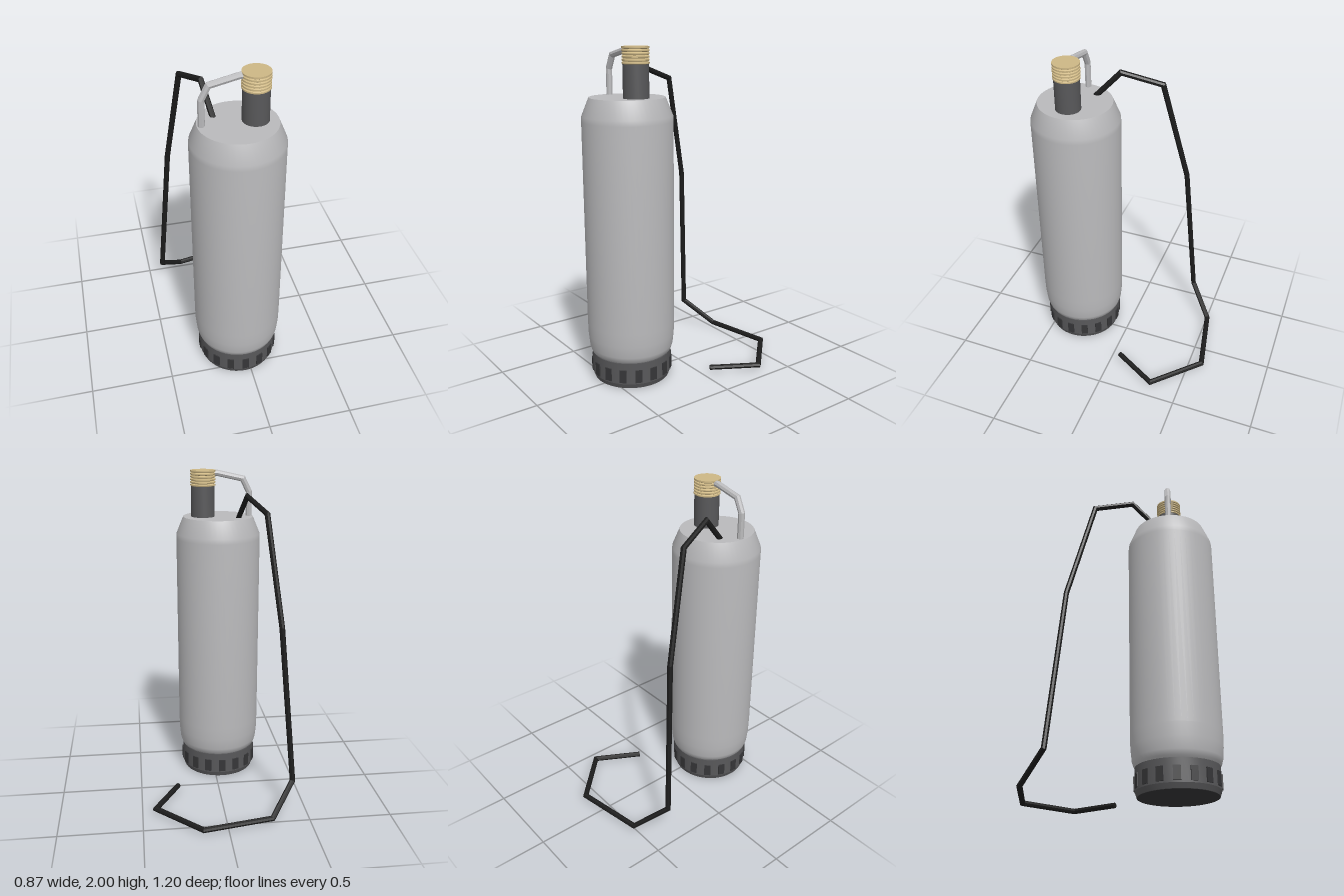
import * as THREE from 'three';
import { mergeGeometries, toCreasedNormals } from 'three/addons/utils/BufferGeometryUtils.js';

const mat = (name, color) => Object.assign(new THREE.MeshStandardMaterial({ color }), { name });

// Closed turned part; edges sharper than the crease angle stay crisp
function turned(points, segments = 48, crease = 0.65) {
  const g = new THREE.LatheGeometry(points.map(([r, y]) => new THREE.Vector2(r, y)), segments);
  return toCreasedNormals(g, crease);
}

// Faceted rod along a polyline, with mitred joints
function mitredRod(coords, radius, sides) {
  const pts = coords.map(c => new THREE.Vector3(...c));
  const dirs = pts.slice(1).map((p, i) => p.clone().sub(pts[i]).normalize());
  const up = new THREE.Vector3(0, 1, 0);
  const turn = new THREE.Quaternion().setFromUnitVectors(up, dirs[0]);
  const parts = dirs.map((dir, i) => {
    if (i > 0) turn.premultiply(new THREE.Quaternion().setFromUnitVectors(dirs[i - 1], dir));
    const a = pts[i], b = pts[i + 1], length = a.distanceTo(b);
    const g = new THREE.CylinderGeometry(radius, radius, length, sides, 1, true);
    g.translate(0, length / 2, 0).applyQuaternion(turn).translate(a.x, a.y, a.z);
    // Slide each end ring along the rod onto the bisecting plane of the joint
    const pos = g.attributes.position, v = new THREE.Vector3();
    for (let k = 0; k < pos.count; k++) {
      v.fromBufferAttribute(pos, k);
      const atEnd = v.clone().sub(a).dot(dir) > length / 2;
      const joint = atEnd ? b : a;
      const normal = dir.clone().add(dirs[atEnd ? i + 1 : i - 1] ?? dir).normalize();
      v.addScaledVector(dir, joint.clone().sub(v).dot(normal) / dir.dot(normal));
      pos.setXYZ(k, v.x, v.y, v.z);
    }
    return g;
  });
  // Caps at both free ends
  [[pts[0], dirs[0].clone().negate()], [pts.at(-1), dirs.at(-1)]].forEach(([p, d]) => {
    const cap = new THREE.CircleGeometry(radius, sides);
    cap.applyQuaternion(new THREE.Quaternion().setFromUnitVectors(new THREE.Vector3(0, 0, 1), d));
    parts.push(cap.translate(p.x, p.y, p.z));
  });
  const flat = mergeGeometries(parts).toNonIndexed();
  flat.computeVertexNormals();
  return flat;
}

export function createModel() {
  const steel = mat('steel', 0xbababc);
  const darkGrey = mat('darkGrey', 0x58585a);
  const slotGrey = mat('slotGrey', 0x363638);
  const brass = mat('brass', 0xcdb785);
  const black = mat('black', 0x1c1c1c);

  const model = new THREE.Group();
  model.name = 'submersiblePump';
  const add = (name, geometry, material, parent = model) => {
    const mesh = new THREE.Mesh(geometry, material);
    mesh.name = name;
    parent.add(mesh);
    return mesh;
  };

  // Pump housing, standing forward of the trailing cable
  const pump = new THREE.Group();
  pump.name = 'pump';
  pump.position.set(-0.04, 0, 0.33);
  model.add(pump);
  add('housing', turned([[0, 0.16], [0.225, 0.16], [0.247, 0.18], [0.256, 0.21],
    [0.263, 0.28], [0.265, 0.36], [0.265, 1.58], [0.263, 1.61], [0.22, 1.715], [0, 1.715]]), steel, pump);

  // Intake base with a ring of sixteen slots
  add('intakeBase', turned([[0, 0.005], [0.23, 0.005], [0.241, 0.035], [0.241, 0.168], [0, 0.168]], 48, 0.3), darkGrey, pump);
  const slots = new THREE.Group();
  slots.name = 'intakeSlots';
  pump.add(slots);
  for (let i = 0; i < 16; i++) {
    const a = i * Math.PI / 8;
    const slot = add('intakeSlot', new THREE.BoxGeometry(0.042, 0.08, 0.009), slotGrey, slots);
    slot.position.set(Math.sin(a) * 0.2425, 0.085, Math.cos(a) * 0.2425);
    slot.rotation.y = a;
  }
  const underside = add('baseUnderside', new THREE.CircleGeometry(0.23, 48), slotGrey, pump);
  underside.rotation.x = Math.PI / 2;
  underside.position.y = 0.003;

  // Outlet pipe and threaded end
  const outlet = new THREE.Group();
  outlet.name = 'outlet';
  outlet.position.x = 0.095;
  pump.add(outlet);
  add('outletPipe', turned([[0, 1.7], [0.074, 1.7], [0.074, 1.91], [0, 1.91]], 32), darkGrey, outlet);
  const thread = [[0, 1.902]];
  for (let i = 0; i < 5; i++) {
    const y = 1.902 + i * 0.017;
    thread.push([0.071, y], [0.078, y + 0.004], [0.078, y + 0.012], [0.071, y + 0.016]);
  }
  thread.push([0.078, 1.99], [0.078, 2], [0, 2]);
  add('outletThread', turned(thread, 32), brass, outlet);

  // Lifting handle from the housing lid to the outlet
  add('handle', mitredRod([[-0.235, 1.7, 0.33], [-0.235, 1.865, 0.33], [-0.195, 1.945, 0.33],
    [-0.035, 1.981, 0.33], [0.02, 1.981, 0.33]], 0.019, 8), steel);

  // Power cable, dropping behind the pump and lying on the ground
  add('cable', mitredRod([[-0.155, 1.7, 0.255], [-0.19, 1.862, 0.105], [-0.27, 1.788, -0.125],
    [-0.343, 1.15, -0.278], [-0.418, 0.195, -0.355], [-0.27, 0.035, -0.508],
    [0.15, 0.035, -0.585], [0.418, 0.035, -0.32], [0.265, 0.035, -0.053]], 0.0165, 8), black);

  return model;
}
